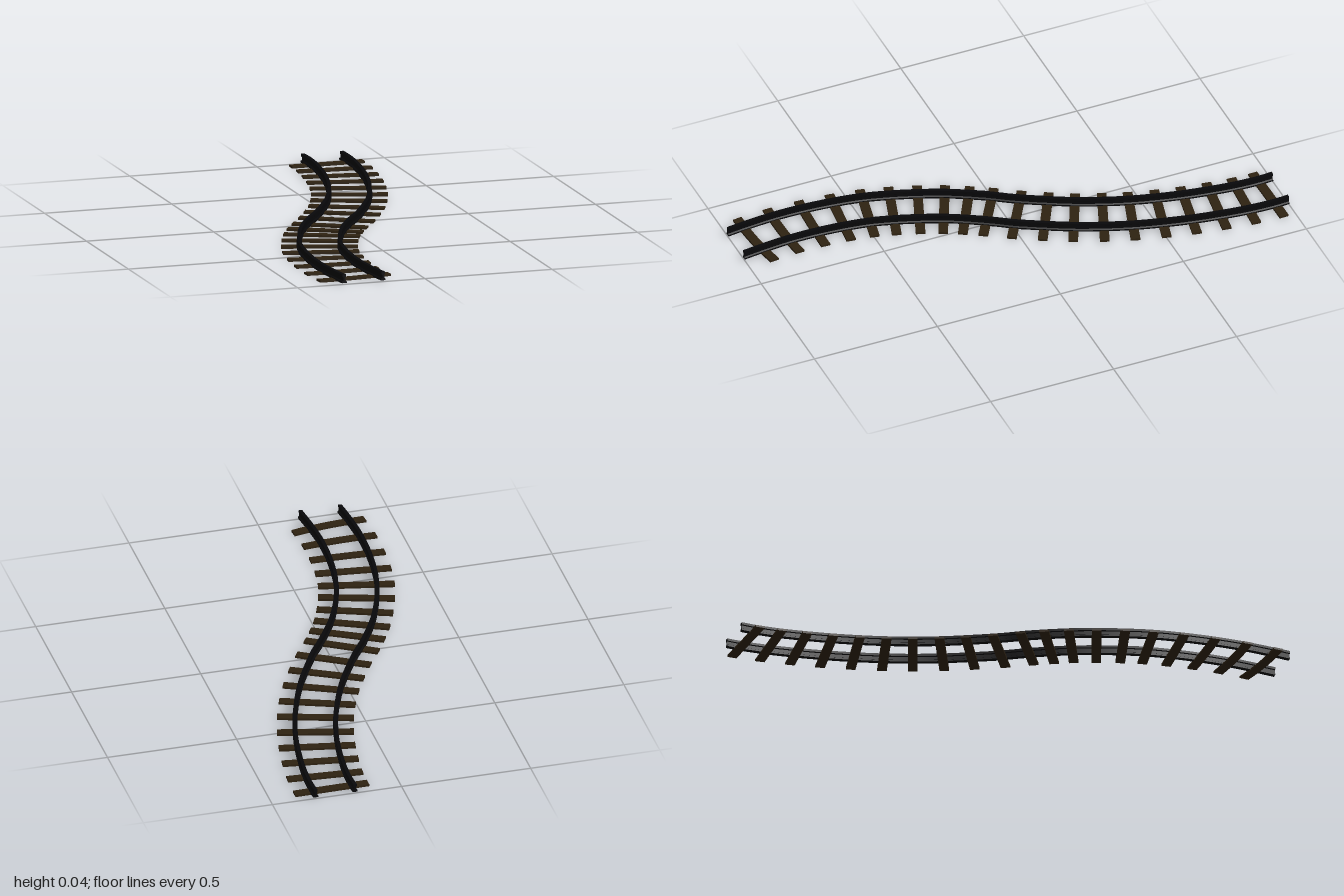
import * as THREE from 'three';
import { toCreasedNormals } from 'three/addons/utils/BufferGeometryUtils.js';

// Centre line of the track as [x, z]; every inner point carries a sleeper
const CENTRE = [
  [0.256, -1], [0.259, -0.95], [0.256, -0.852], [0.244, -0.746], [0.227, -0.64], [0.204, -0.535],
  [0.175, -0.43], [0.14, -0.33], [0.098, -0.23], [0.05, -0.135], [-0.003, -0.04], [-0.06, 0.05],
  [-0.102, 0.122], [-0.14, 0.196], [-0.176, 0.283], [-0.208, 0.376], [-0.233, 0.468],
  [-0.249, 0.571], [-0.258, 0.683], [-0.259, 0.8], [-0.25, 0.917], [-0.24, 1],
];
const path = new THREE.CatmullRomCurve3(CENTRE.map(([x, z]) => new THREE.Vector3(x, 0, z)));

const HALF_GAUGE = 0.076;
const SLEEPER = { length: 0.287, height: 0.008, width: 0.036 };

// Half of the rail cross-section: foot, web, head
const RAIL_HALF = [
  [0.0095, 0.005], [0.0095, 0.011], [0.004, 0.014],
  [0.004, 0.026], [0.0068, 0.029], [0.0068, 0.038],
];

// Extrude the rail profile straight, then bend it along the centre line
function railGeometry(offset) {
  const mirrored = RAIL_HALF.map(([x, y]) => [-x, y]).reverse();
  const shape = new THREE.Shape([...RAIL_HALF, ...mirrored].map(([x, y]) => new THREE.Vector2(x, y)));
  const geometry = new THREE.ExtrudeGeometry(shape, { depth: 1, steps: 84, bevelEnabled: false });
  const pos = geometry.attributes.position;
  for (let i = 0; i < pos.count; i++) {
    const t = THREE.MathUtils.clamp(pos.getZ(i), 0, 1);
    const p = path.getPoint(t);
    const across = (offset + pos.getX(i)) / path.getTangent(t).z;
    pos.setXYZ(i, p.x + across, pos.getY(i), p.z);
  }
  return toCreasedNormals(geometry, 0.6);
}

// Flat plank, bowed slightly towards the front
function sleeperGeometry(bow) {
  const { length, height, width } = SLEEPER;
  const geometry = new THREE.BoxGeometry(length, height, width, 6, 1, 1);
  const pos = geometry.attributes.position;
  for (let i = 0; i < pos.count; i++) {
    const u = (2 * pos.getX(i)) / length;
    pos.setZ(i, pos.getZ(i) + bow * (0.5 - u * u));
  }
  geometry.computeVertexNormals();
  return geometry;
}

export function createModel() {
  const wood = new THREE.MeshStandardMaterial({ color: 0x2e2211 });
  wood.name = 'dark wood';
  const steel = new THREE.MeshStandardMaterial({ color: 0x08080a });
  steel.name = 'black steel';

  const track = new THREE.Group();
  track.name = 'curvedTrack';

  // Two parallel rails
  for (const [name, side] of [['leftRail', 1], ['rightRail', -1]]) {
    const rail = new THREE.Mesh(railGeometry(side * HALF_GAUGE), steel);
    rail.name = name;
    track.add(rail);
  }

  // Sleepers square to the centre line
  const sleepers = new THREE.Group();
  sleepers.name = 'sleepers';
  const last = CENTRE.length - 1;
  for (let i = 1; i < last; i++) {
    const [x, z] = CENTRE[i];
    const tangent = path.getTangent(i / last);
    const bow = 0.008 * THREE.MathUtils.smoothstep(z, 0.5, 0.95);
    const sleeper = new THREE.Mesh(sleeperGeometry(bow), wood);
    sleeper.name = 'sleeper';
    sleeper.position.set(x, SLEEPER.height / 2, z);
    sleeper.rotation.y = Math.atan2(tangent.x, tangent.z);
    sleepers.add(sleeper);
  }
  track.add(sleepers);

  return track;
}
